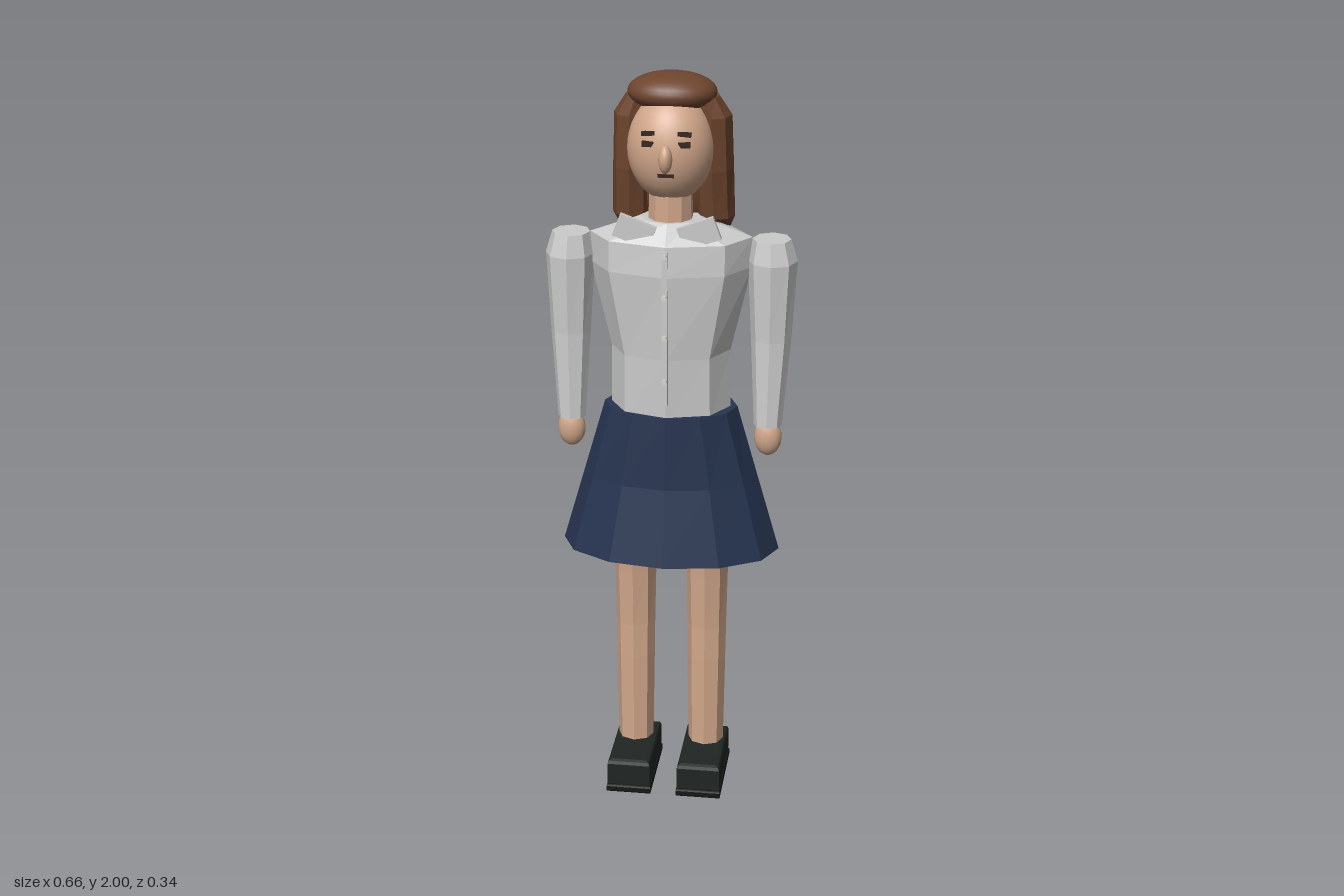
import * as THREE from 'three';

const mat = (color, flatShading = false) => new THREE.MeshStandardMaterial({ color, flatShading });
const SKIN = 0xd0a68a, SHIRT = 0xcccccc, NAVY = 0x263450, HAIR = 0x6e452e, SHOE = 0x202624, DARK = 0x33231c;

// Closed faceted body through elliptical rings [y, rx, rz, cx, cz]
function loft(rings, sides) {
  const pos = [], idx = [];
  for (const [y, rx, rz, cx = 0, cz = 0] of rings)
    for (let i = 0; i < sides; i++) {
      const a = (i / sides) * Math.PI * 2;
      pos.push(cx + rx * Math.sin(a), y, cz + rz * Math.cos(a));
    }
  for (let r = 0; r < rings.length - 1; r++)
    for (let i = 0; i < sides; i++) {
      const a = r * sides + i, b = r * sides + (i + 1) % sides;
      idx.push(a, b, b + sides, a, b + sides, a + sides);
    }
  const top = (rings.length - 1) * sides;
  for (let i = 1; i < sides - 1; i++) idx.push(0, i + 1, i, top, top + i, top + i + 1);
  const g = new THREE.BufferGeometry();
  g.setAttribute('position', new THREE.Float32BufferAttribute(pos, 3));
  g.setIndex(idx);
  const flat = g.toNonIndexed();
  flat.computeVertexNormals();
  return flat;
}

// Block with bevelled edges, centred
function bevelBox(w, h, d, b) {
  const x = w / 2 - b, z = d / 2 - b;
  const s = new THREE.Shape([[-x, -z], [x, -z], [x, z], [-x, z]].map(p => new THREE.Vector2(...p)));
  const g = new THREE.ExtrudeGeometry(s, {
    depth: h - 2 * b, bevelEnabled: true, bevelSize: b, bevelThickness: b, bevelSegments: 2
  });
  return g.rotateX(-Math.PI / 2).translate(0, -h / 2 + b, 0);
}

export function createModel() {
  const model = new THREE.Group();
  model.name = 'woman';

  const add = (name, geometry, color, flat = true, x = 0, y = 0, z = 0) => {
    const m = new THREE.Mesh(geometry, mat(color, flat));
    m.name = name;
    m.position.set(x, y, z);
    model.add(m);
    return m;
  };
  const ball = (name, color, rx, ry, rz, x, y, z, w = 24, h = 16) =>
    add(name, new THREE.SphereGeometry(1, w, h).scale(rx, ry, rz), color, false, x, y, z);
  const box = (name, color, w, h, d, x, y, z) =>
    add(name, new THREE.BoxGeometry(w, h, d), color, true, x, y, z);

  // Skirt and blouse
  add('skirt', loft([
    [0.70, 0.295, 0.17], [0.91, 0.235, 0.13], [1.11, 0.178, 0.117]
  ], 12), NAVY);
  add('blouse', loft([
    [1.09, 0.16, 0.11], [1.27, 0.158, 0.115], [1.50, 0.212, 0.13],
    [1.58, 0.212, 0.122], [1.628, 0.08, 0.075]
  ], 8), SHIRT);
  box('placket', SHIRT, 0.014, 0.42, 0.02, 0, 1.36, 0.121);
  for (const y of [1.56, 1.45, 1.34, 1.22])
    add('button', new THREE.CylinderGeometry(0.007, 0.007, 0.012, 10).rotateX(Math.PI / 2),
      0xd8d8d0, false, 0, y, 0.135);

  // Neck and head
  add('neck', new THREE.CylinderGeometry(0.055, 0.06, 0.16, 10), SKIN, true, 0, 1.66, 0.005);
  ball('head', SKIN, 0.112, 0.14, 0.105, 0, 1.812, 0.003, 32, 20);
  ball('nose', SKIN, 0.018, 0.036, 0.024, 0, 1.807, 0.11, 12, 10);
  box('mouth', DARK, 0.042, 0.009, 0.012, 0, 1.763, 0.099);

  // Crown and back of the hair
  ball('hairCrown', HAIR, 0.115, 0.05, 0.09, 0, 1.95, -0.025, 32, 16);
  ball('hairBack', HAIR, 0.105, 0.19, 0.06, 0, 1.745, -0.07, 24, 16);

  // Paired parts
  for (const s of [1, -1]) {
    const side = s > 0 ? 'left' : 'right';
    const collar = box(side + 'Collar', SHIRT, 0.1, 0.062, 0.014, s * 0.083, 1.61, 0.085);
    collar.rotation.z = s * 0.36;

    box(side + 'Eye', DARK, 0.03, 0.014, 0.01, s * 0.046, 1.842, 0.095);
    const brow = box(side + 'Eyebrow', DARK, 0.034, 0.01, 0.014, s * 0.046, 1.868, 0.09);
    brow.rotation.z = s * -0.08;

    // Long side lock ending in a point towards the back
    add(side + 'HairLock', loft([
      [1.54, 0.008, 0.008, s * 0.12, -0.095], [1.62, 0.05, 0.05, s * 0.11, -0.055],
      [1.75, 0.05, 0.062, s * 0.107, -0.045], [1.89, 0.047, 0.06, s * 0.105, -0.04],
      [1.94, 0.03, 0.045, s * 0.09, -0.035]
    ], 8), HAIR);

    // Sleeve bent slightly forward, with hand
    add(side + 'Sleeve', loft([
      [1.075, 0.037, 0.033, s * 0.262, 0.035], [1.31, 0.053, 0.05, s * 0.265, 0.01],
      [1.52, 0.065, 0.068, s * 0.265, 0], [1.578, 0.05, 0.053, s * 0.262, 0]
    ], 8), SHIRT);
    ball(side + 'Hand', SKIN, 0.037, 0.052, 0.029, s * 0.263, 1.042, 0.035, 16, 12);

    // Leg and shoe
    add(side + 'Leg', loft([
      [0.10, 0.049, 0.047, s * 0.099, 0.002], [0.36, 0.053, 0.05, s * 0.099, 0],
      [0.46, 0.054, 0.052, s * 0.099, -0.004], [0.62, 0.057, 0.062, s * 0.099, -0.008],
      [0.80, 0.062, 0.07, s * 0.099, -0.005]
    ], 8), SKIN);
    add(side + 'Shoe', bevelBox(0.118, 0.085, 0.24, 0.012), SHOE, true, s * 0.097, 0.0565, 0.048);
    add(side + 'Sole', bevelBox(0.124, 0.022, 0.248, 0.005), 0x141716, true, s * 0.097, 0.011, 0.047);
  }
  return model;
}
